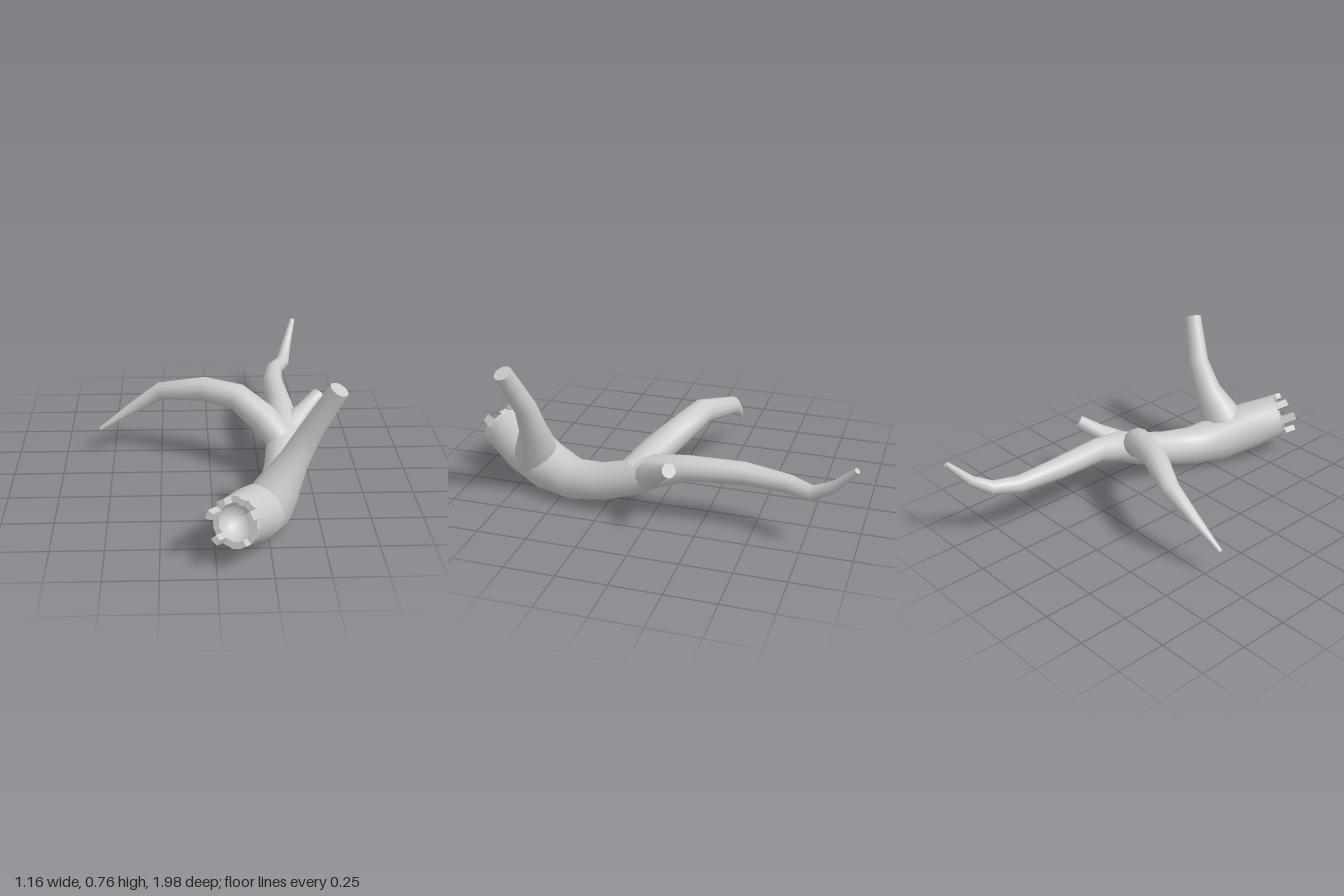
import * as THREE from 'three';

const material = new THREE.MeshStandardMaterial({ color: 0xcccccc });
const V = (x, y, z) => new THREE.Vector3(x, y, z);

function makeMesh(name, positions, index) {
  const geometry = new THREE.BufferGeometry();
  geometry.setAttribute('position', new THREE.Float32BufferAttribute(positions, 3));
  if (index) geometry.setIndex(index);
  geometry.computeVertexNormals();
  const mesh = new THREE.Mesh(geometry, material);
  mesh.name = name;
  return mesh;
}

// Sideways and upward axes of a ring whose path runs along t
function startFrame(t) {
  const u = V().crossVectors(t, V(0, 1, 0)).normalize();
  return { u, v: V().crossVectors(u, t) };
}

const ringPoint = (c, { u, v }, r, a) =>
  c.clone().addScaledVector(u, r * Math.cos(a)).addScaledVector(v, r * Math.sin(a));

// Tapering limb through [x, y, z, radius] stations, with a flat cap on its far end
function limb(name, stations, sides) {
  const centres = stations.map(([x, y, z]) => V(x, y, z));
  const last = centres.length - 1;
  const positions = [], index = [];
  let frame, before;
  centres.forEach((c, k) => {
    const into = c.clone().sub(centres[Math.max(k - 1, 0)]).normalize();
    const out = centres[Math.min(k + 1, last)].clone().sub(c).normalize();
    const t = into.add(out).normalize();
    if (!frame) frame = startFrame(t);
    else {
      const turn = new THREE.Quaternion().setFromUnitVectors(before, t);
      frame.u.applyQuaternion(turn);
      frame.v.applyQuaternion(turn);
    }
    before = t;
    for (let i = 0; i < sides; i++) {
      positions.push(...ringPoint(c, frame, stations[k][3], (i / sides) * Math.PI * 2));
      if (k === last) continue;
      const a = k * sides + i, b = k * sides + (i + 1) % sides;
      index.push(a, a + sides, b, b, a + sides, b + sides);
    }
  });
  // Cap with its own vertices for a sharp edge
  const rim = last * sides, cap = positions.length / 3;
  positions.push(...positions.slice(rim * 3), ...centres[last]);
  for (let i = 0; i < sides; i++) index.push(cap + sides, cap + (i + 1) % sides, cap + i);
  return makeMesh(name, positions, index);
}

// Ring of splintered teeth around the hollow end of the trunk
function splinters(centre, t, radius, inner, heights) {
  const frame = startFrame(t), n = heights.length, positions = [];
  const quad = (a, b, c, d) => [a, b, c, a, c, d].forEach(p => positions.push(...p));
  heights.forEach((h, i) => {
    const mid = (i + 0.5) / n * Math.PI * 2, half = Math.PI / n;
    const corner = (r, side, height) =>
      ringPoint(centre, frame, r, mid + side * half * (height ? 0.88 : 1)).addScaledVector(t, -height);
    const [a, b, c, d] = [[radius, -1], [radius, 1], [inner, 1], [inner, -1]].map(([r, s]) => corner(r, s, 0));
    const [e, f, g, k] = [[radius, -1], [radius, 1], [inner, 1], [inner, -1]].map(([r, s]) => corner(r, s, h));
    quad(a, b, f, e);
    quad(b, c, g, f);
    quad(c, d, k, g);
    quad(d, a, e, k);
    quad(e, f, g, k);
  });
  return makeMesh('splinteredRim', positions);
}

// Rounded bowl inside the broken end
function hollow(centre, t, radius, depth, sides) {
  const frame = startFrame(t), rows = 5, positions = [], index = [];
  for (let k = 0; k <= rows; k++) {
    const q = (k / rows) * Math.PI / 2;
    const c = centre.clone().addScaledVector(t, depth * Math.sin(q));
    for (let i = 0; i < sides; i++) {
      positions.push(...ringPoint(c, frame, radius * Math.cos(q), (i / sides) * Math.PI * 2));
      if (k === rows) continue;
      const a = k * sides + i, b = k * sides + (i + 1) % sides;
      index.push(a, b, a + sides, b, b + sides, a + sides);
    }
  }
  return makeMesh('hollow', positions, index);
}

export function createModel() {
  const group = new THREE.Group();
  group.name = 'brokenBranch';

  // Main trunk, from the broken end to the thin tip
  const trunk = [
    [0.09, 0.225, 0.88, 0.115], [0.17, 0.18, 0.74, 0.13], [0.245, 0.128, 0.58, 0.122],
    [0.31, 0.114, 0.42, 0.103], [0.347, 0.148, 0.25, 0.092], [0.362, 0.2, 0.1, 0.086],
    [0.37, 0.26, -0.03, 0.08], [0.368, 0.295, -0.18, 0.062], [0.352, 0.3, -0.45, 0.055],
    [0.375, 0.29, -0.67, 0.044], [0.435, 0.291, -0.79, 0.037], [0.465, 0.36, -0.89, 0.026],
    [0.506, 0.473, -0.988, 0.014],
  ];
  group.add(limb('trunk', trunk, 16));

  // Broken end
  const end = V(...trunk[0].slice(0, 3));
  const inward = V(...trunk[1].slice(0, 3)).sub(end).normalize();
  const heights = [0.04, 0.07, 0.015, 0.03, 0.01, 0.07, 0.01, 0.085, 0.01, 0.015, 0.075, 0.02, 0.035, 0.045, 0.01, 0.025];
  group.add(splinters(end, inward, 0.115, 0.085, heights));
  group.add(hollow(end, inward, 0.085, 0.09, 16));

  // Side limbs, flared where they leave the trunk
  group.add(limb('upperLimb', [
    [0.235, 0.17, 0.655, 0.115], [0.295, 0.265, 0.63, 0.1], [0.36, 0.38, 0.608, 0.07],
    [0.435, 0.53, 0.606, 0.055], [0.541, 0.747, 0.662, 0.045],
  ], 12));
  group.add(limb('curvedLimb', [
    [0.355, 0.23, 0.09, 0.078], [0.265, 0.31, 0.01, 0.077], [0.14, 0.387, -0.085, 0.069],
    [-0.03, 0.41, -0.14, 0.062], [-0.25, 0.36, -0.237, 0.046], [-0.41, 0.26, -0.23, 0.029],
    [-0.57, 0.154, -0.215, 0.01],
  ], 12));
  group.add(limb('shortStub', [
    [0.375, 0.23, 0.03, 0.075], [0.43, 0.275, -0.025, 0.06], [0.485, 0.318, -0.075, 0.042],
    [0.56, 0.372, -0.145, 0.035],
  ], 10));

  return group;
}
